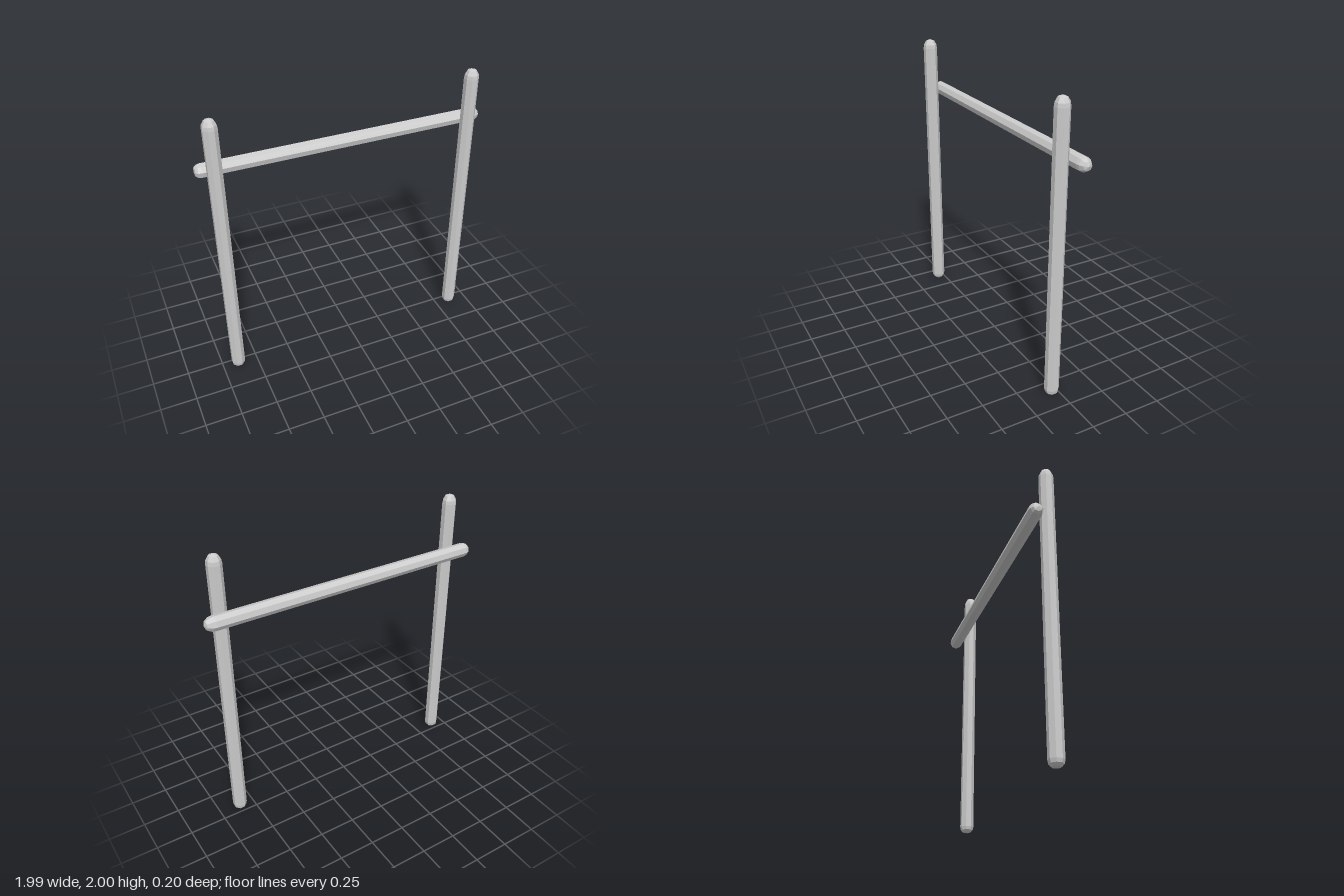
import * as THREE from 'three';

const material = new THREE.MeshStandardMaterial({ color: 0xcccccc, flatShading: true });

// Eight-sided pole with a short rounded foot and a longer tapered tip
function makePole(name, length, radius, roll) {
  const profile = [
    [0, 0], [0.6, 0.006], [0.9, 0.022], [1, 0.045],
    [1, length - 0.065], [0.93, length - 0.04], [0.62, length - 0.012], [0, length],
  ].map(([r, y]) => new THREE.Vector2(r * radius, y));
  const geometry = new THREE.LatheGeometry(profile, 8);
  geometry.rotateY(Math.PI / 8 + roll);
  const mesh = new THREE.Mesh(geometry, material);
  mesh.name = name;
  return mesh;
}

export function createModel() {
  const model = new THREE.Group();
  model.name = 'poleFrame';

  // Upright posts
  for (const [name, x] of [['rightPost', -0.89], ['leftPost', 0.855]]) {
    const post = makePole(name, 1.995, 0.049, 0);
    post.position.set(x, 0.003, 0.05);
    model.add(post);
  }

  // Crossbar behind the posts, very slightly skewed
  const bar = makePole('crossbar', 1.995, 0.049, 0.25);
  bar.geometry.rotateZ(-Math.PI / 2);
  bar.rotation.y = -0.0035;
  bar.position.set(-0.998, 1.608, -0.053);
  model.add(bar);

  return model;
}
